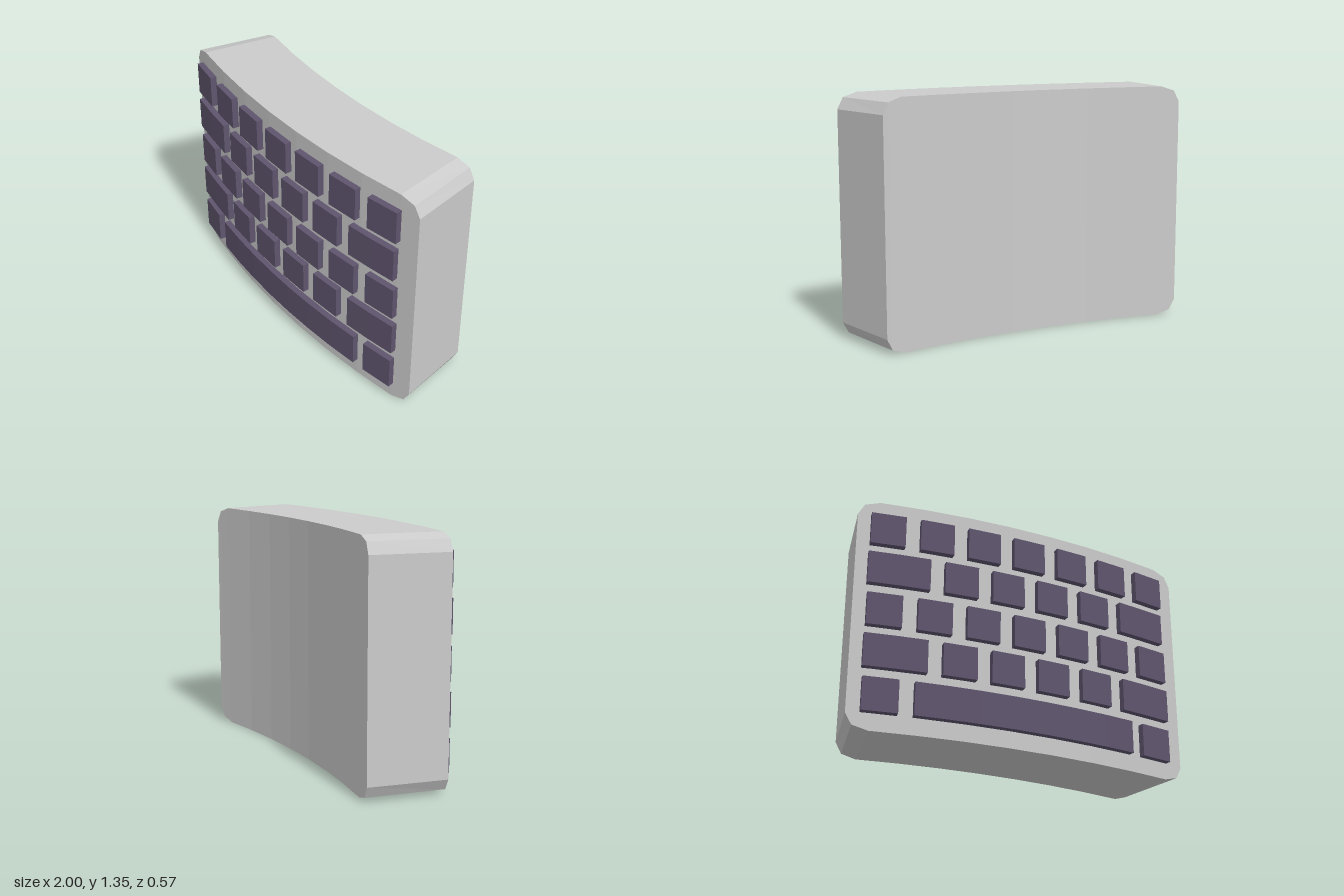
import * as THREE from 'three';

const R = 5;            // radius of the curved front face
const CENTRE_Z = -4.752; // axis of the curve, far behind the model
const KEY_R = 5.036;    // radius of the key tops

const bodyMaterial = new THREE.MeshStandardMaterial({ color: 0xcccccc, flatShading: true });
const keyMaterial = new THREE.MeshStandardMaterial({ color: 0x5f556e, flatShading: true });

// Closed slab bent around the vertical axis; columns are [angle, bottom, top] from left to right
function bentSlab(columns, inner, outer) {
  const positions = [];
  const point = (angle, y, r) => [r * Math.sin(angle), y, CENTRE_Z + r * Math.cos(angle)];
  const quad = (a, b, c, d) => positions.push(...a, ...b, ...c, ...a, ...c, ...d);
  const rings = columns.map(([angle, y0, y1]) => ({
    fb: point(angle, y0, outer), ft: point(angle, y1, outer),
    bb: point(angle, y0, inner), bt: point(angle, y1, inner),
  }));
  for (let i = 0; i < rings.length - 1; i++) {
    const p = rings[i], q = rings[i + 1];
    quad(p.fb, q.fb, q.ft, p.ft); // front
    quad(q.bb, p.bb, p.bt, q.bt); // back
    quad(p.ft, q.ft, q.bt, p.bt); // top
    quad(p.bb, q.bb, q.fb, p.fb); // bottom
  }
  const first = rings[0], last = rings[rings.length - 1];
  quad(first.bb, first.fb, first.ft, first.bt);
  quad(last.fb, last.bb, last.bt, last.ft);
  const geometry = new THREE.BufferGeometry();
  geometry.setAttribute('position', new THREE.Float32BufferAttribute(positions, 3));
  geometry.computeVertexNormals();
  return geometry;
}

function addMesh(group, name, geometry, material) {
  const mesh = new THREE.Mesh(geometry, material);
  mesh.name = name;
  group.add(mesh);
}

export function createModel() {
  const model = new THREE.Group();
  model.name = 'curvedKeyboard';

  // Body: seven flat facets with two-step rounded corners
  const height = 1.347;
  const corners = [[1, 0.088], [0.965, 0.025], [0.88, 0]];
  const column = (x, inset) => [Math.asin(x / R), inset, height - inset];
  const columns = corners.map(([x, inset]) => column(-x, inset));
  for (let i = 1; i < 7; i++) columns.push(column(-0.88 + (1.76 * i) / 7, 0));
  columns.push(...corners.map(([x, inset]) => column(x, inset)).reverse());
  addMesh(model, 'body', bentSlab(columns, R - 0.44, R), bodyMaterial);

  // Key rows: bottom height and [left, right] of each key
  const squares = [];
  for (let i = 0; i < 7; i++) squares.push([-0.935 + 0.2735 * i, -0.745 + 0.2735 * i]);
  const staggered = (right) => [
    [-0.94, -0.6], [-0.517, -0.327], [-0.243, -0.053],
    [0.03, 0.22], [0.305, 0.495], [0.58, right],
  ];
  const rows = [
    [1.07, squares],
    [0.829, staggered(0.888)],
    [0.582, squares],
    [0.342, staggered(0.9)],
    [0.096, [squares[0], [-0.662, 0.633], squares[6]]],
  ];

  const keys = new THREE.Group();
  keys.name = 'keys';
  for (const [y, row] of rows) {
    for (const [left, right] of row) {
      const segments = Math.max(1, Math.round((right - left) / 0.19));
      const a = Math.asin(left / KEY_R), b = Math.asin(right / KEY_R);
      const keyColumns = [];
      for (let i = 0; i <= segments; i++) {
        keyColumns.push([a + ((b - a) * i) / segments, y, y + 0.188]);
      }
      const name = right - left > 1 ? 'spaceBar' : right - left > 0.25 ? 'wideKey' : 'key';
      addMesh(keys, name, bentSlab(keyColumns, R - 0.02, KEY_R), keyMaterial);
    }
  }
  model.add(keys);
  return model;
}
